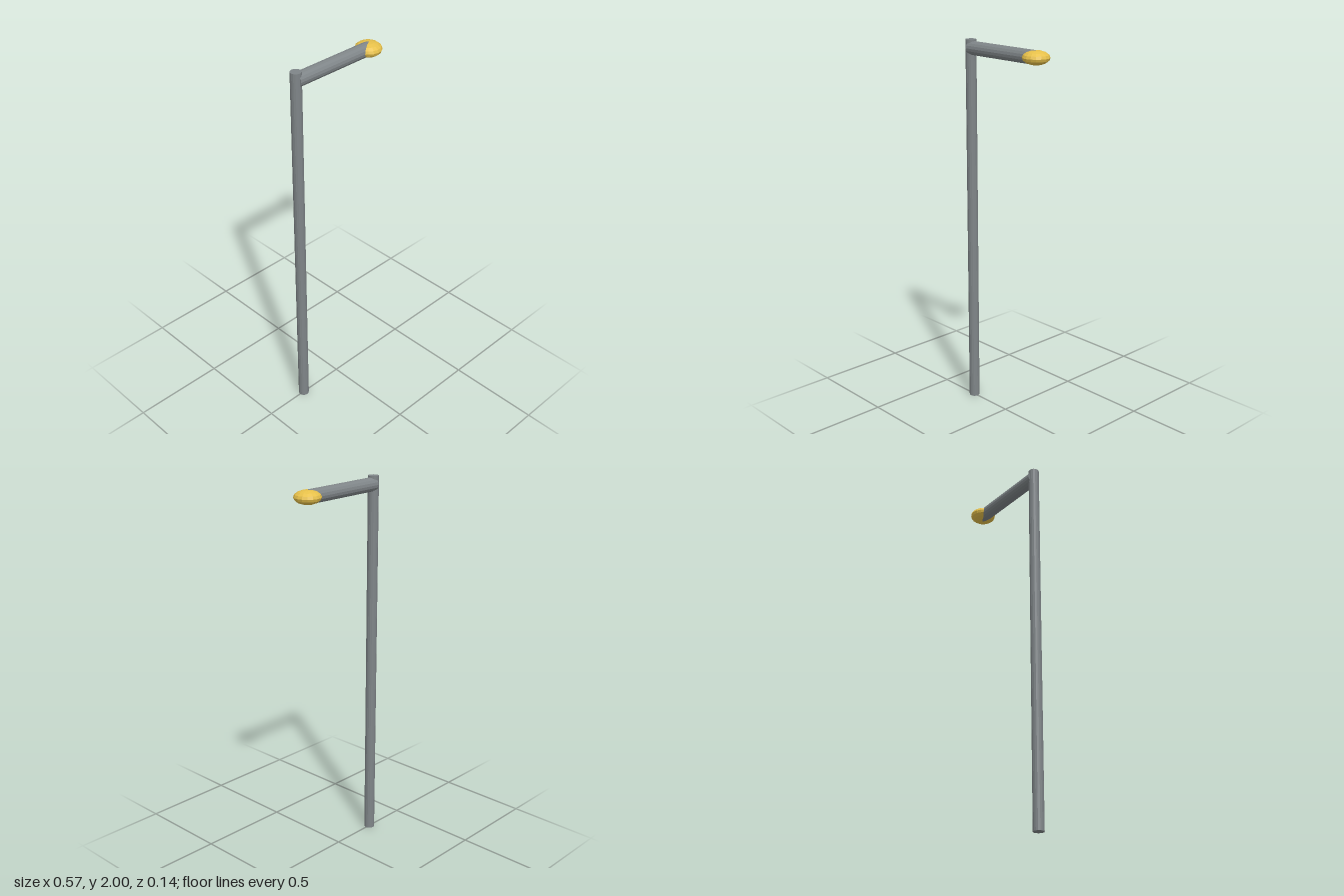
import * as THREE from 'three';

const POLE_X = -0.256, LAMP_X = 0.214, ARM_Y = 1.956;

function material(color) {
  return new THREE.MeshStandardMaterial({ color, flatShading: true });
}

export function createModel() {
  const group = new THREE.Group();
  const grey = material(0x7f8588);
  const yellow = material(0xe6c04a);

  const add = (name, geometry, mat, x, y) => {
    const mesh = new THREE.Mesh(geometry, mat);
    mesh.name = name;
    mesh.position.set(x, y, 0);
    group.add(mesh);
    return mesh;
  };

  // Upright pole
  add('pole', new THREE.CylinderGeometry(0.028, 0.028, 2, 16), grey, POLE_X, 1);

  // Horizontal arm, from the pole's axis to the middle of the lamp
  const arm = new THREE.CylinderGeometry(0.036, 0.036, LAMP_X - POLE_X, 16);
  arm.rotateZ(-Math.PI / 2);
  add('arm', arm, grey, (POLE_X + LAMP_X) / 2, ARM_Y);

  // Flattened lamp at the tip of the arm
  const lamp = new THREE.SphereGeometry(0.069, 16, 8);
  lamp.scale(1, 0.515, 1);
  add('lamp', lamp, yellow, LAMP_X, ARM_Y);

  return group;
}
